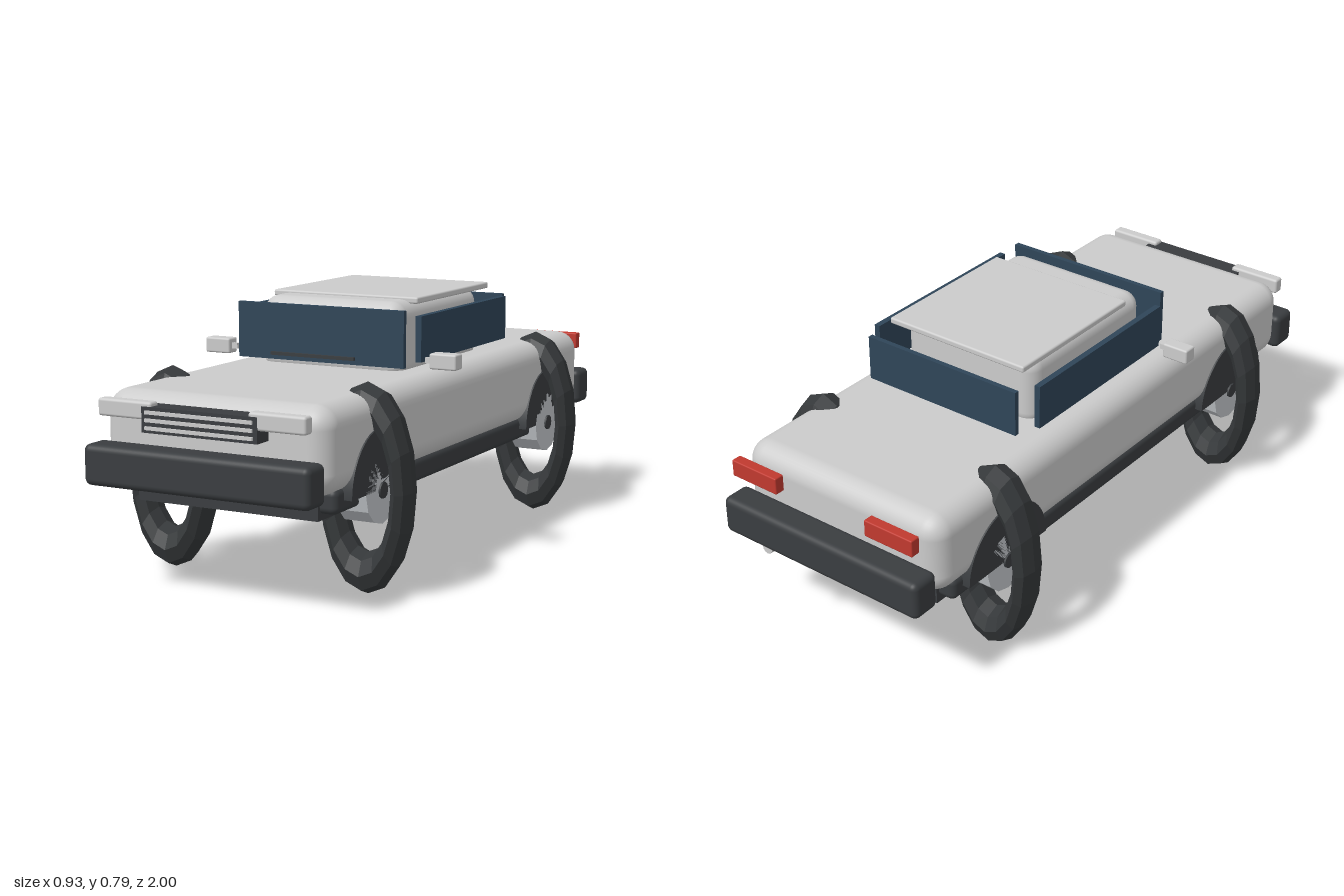
import * as THREE from 'three';
import { RoundedBoxGeometry } from 'three/addons/geometries/RoundedBoxGeometry.js';

const mat = (color, extra = {}) => new THREE.MeshStandardMaterial({ color, ...extra });
const paint = mat(0xcccccc);
const dark = mat(0x3a3d40);
const rubber = mat(0x35383a, { flatShading: true });
const steel = mat(0xc4c8cc, { flatShading: true });
const glass = mat(0x2f4558);
const red = mat(0xc0392f);
const lamp = mat(0xdddddd);

export function createModel() {
  const car = new THREE.Group();
  car.name = 'car';

  const add = (name, geometry, material, x = 0, y = 0, z = 0) => {
    const mesh = new THREE.Mesh(geometry, material);
    mesh.name = name;
    mesh.position.set(x, y, z);
    car.add(mesh);
    return mesh;
  };
  // Box given by its extents on each axis; a radius rounds the edges
  const block = (name, material, [x0, x1], [y0, y1], [z0, z1], radius = 0) => {
    const size = [x1 - x0, y1 - y0, z1 - z0];
    const geometry = radius ? new RoundedBoxGeometry(...size, 4, radius) : new THREE.BoxGeometry(...size);
    return add(name, geometry, material, (x0 + x1) / 2, (y0 + y1) / 2, (z0 + z1) / 2);
  };
  const span = (side, a, b) => (side > 0 ? [a, b] : [-b, -a]);

  // Body, chassis and cabin
  block('body', paint, [-0.365, 0.365], [0.33, 0.583], [-0.905, 0.905], 0.065);
  block('chassis', dark, [-0.345, 0.345], [0.273, 0.345], [-0.82, 0.82], 0.02);
  block('cabin', paint, [-0.243, 0.243], [0.55, 0.787], [-0.32, 0.245], 0.05);
  block('roof', paint, [-0.25, 0.25], [0.775, 0.795], [-0.373, 0.143], 0.006);

  // Glazing
  block('windshield', glass, [-0.283, 0.283], [0.602, 0.772], [0.283, 0.299]);
  block('rearWindow', glass, [-0.275, 0.275], [0.61, 0.752], [-0.443, -0.427]);
  block('wiper', dark, [-0.142, 0.142], [0.622, 0.632], [0.338, 0.348]);

  // Bumpers, aprons and grille
  for (const end of [-1, 1]) {
    block('bumper', dark, [-0.363, 0.363], [0.322, 0.44], span(end, 0.905, 1), 0.02);
    block('apron', dark, [-0.293, 0.293], [0.255, 0.335], span(end, 0.37, 0.83));
  }
  block('grille', dark, [-0.185, 0.185], [0.482, 0.555], [0.9, 0.965]);
  for (const y of [0.496, 0.518, 0.54]) {
    block('grilleBar', paint, [-0.172, 0.172], [y - 0.005, y + 0.005], [0.96, 0.971]);
  }

  // Exhaust tip
  add('exhaust', new THREE.CylinderGeometry(0.018, 0.018, 0.05, 12), paint, 0.21, 0.316, -0.96).rotation.x = Math.PI / 2;

  for (const side of [-1, 1]) {
    block('sideWindow', glass, span(side, 0.292, 0.311), [0.615, 0.752], [-0.375, 0.24]);
    block('headlight', lamp, span(side, 0.155, 0.333), [0.517, 0.567], [0.925, 0.963], 0.008);
    block('taillight', red, span(side, 0.165, 0.335), [0.512, 0.565], [-0.975, -0.942], 0.004);
    block('mirror', paint, span(side, 0.345, 0.432), [0.6, 0.647], [0.21, 0.258], 0.006);
    block('mirrorStalk', paint, span(side, 0.325, 0.35), [0.615, 0.632], [0.227, 0.243]);

    for (const z of [-0.6, 0.6]) {
      // Half-disc wheel arch
      const arch = add('wheelArch', new THREE.CylinderGeometry(0.178, 0.178, 0.06, 24, 1, false, 0, Math.PI), dark, side * 0.34, 0.31, z);
      arch.rotation.z = Math.PI / 2;

      // Hub and cap, turned on the axle
      add('hub', new THREE.CylinderGeometry(0.097, 0.097, 0.094, 12), steel, side * 0.323, 0.307, z).rotation.z = Math.PI / 2;
      add('hubCap', new THREE.CylinderGeometry(0.024, 0.024, 0.02, 10), dark, side * 0.366, 0.307, z).rotation.z = Math.PI / 2;

      // Tire: a ring facing the front, squeezed in x
      add('tire', new THREE.TorusGeometry(0.243, 0.061, 8, 16), rubber, side * 0.325, 0.307, z).scale.x = 0.46;
    }
  }

  // Rest exactly on the ground
  const box = new THREE.Box3().setFromObject(car);
  for (const part of car.children) part.position.y -= box.min.y;
  return car;
}
